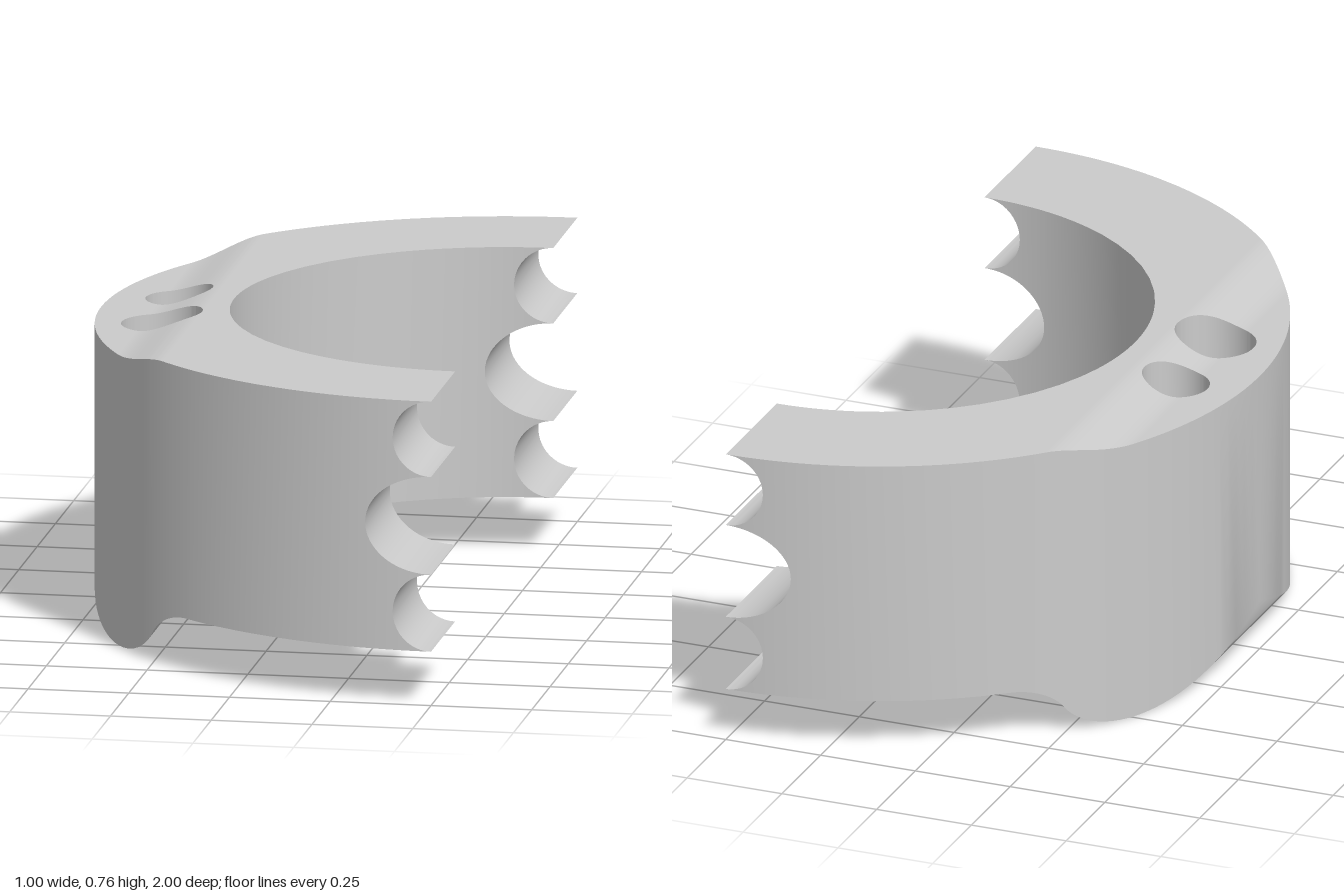
import * as THREE from 'three';
import { toCreasedNormals } from 'three/addons/utils/BufferGeometryUtils.js';

// Half ring in plan, centred on the open end
const CX = 0.5, OUTER = 1, INNER = 0.67;
const HEIGHT = 0.762, BASE = 0.135;

// Vertical bolt holes
const holes = [
  { x: -0.328, z: -0.12, r: 0.083 },
  { x: -0.322, z: 0.15, r: 0.1 },
];

// Scallops cut into both ends: y range and depth
const scallops = [
  { lo: BASE, hi: 0.328, depth: 0.096 },
  { lo: 0.328, hi: 0.573, depth: 0.166 },
  { lo: 0.573, hi: HEIGHT, depth: 0.096 },
];

// Rounded rib under the back, blended into the flat base by a fillet
const RIB = { x: -0.37, r: 0.13 }, FILLET = { x: -0.15, r: 0.117 }, BLEND_X = -0.254;

const half = (r, d) => Math.sqrt(Math.max(0, r * r - d * d));

function bottomY(x) {
  if (x < BLEND_X) return RIB.r - half(RIB.r, x - RIB.x);
  if (x < FILLET.x) return BASE - FILLET.r + half(FILLET.r, x - FILLET.x);
  return BASE;
}

const topY = (x) => 0.728 + (HEIGHT - 0.728) * THREE.MathUtils.smoothstep(x, -0.37, -0.22);

// Solid spans along z at x; mid decides which cuts are present
function zSpans(x, mid) {
  const o = half(OUTER, x - CX);
  const ends = [-o, o];
  if (mid > CX - INNER) {
    const i = half(INNER, x - CX);
    ends.push(-i, i);
  }
  for (const h of holes) {
    if (Math.abs(mid - h.x) < h.r) {
      const w = half(h.r, x - h.x);
      ends.push(h.z - w, h.z + w);
    }
  }
  return ends.sort((a, b) => a - b);
}

// Solid spans along y at x
function ySpans(x, mid) {
  const ends = [bottomY(x), topY(x)];
  for (const s of scallops) {
    if (mid > CX - s.depth) {
      const w = (s.hi - s.lo) / 2 * half(1, (x - CX) / s.depth), c = (s.lo + s.hi) / 2;
      ends.push(c - w, c + w);
    }
  }
  return ends.sort((a, b) => a - b);
}

// Sweep along x: every slice is a set of rectangles, joined to the next slice
function buildBody() {
  const pos = [];
  const tri = (a, b, c) => {
    const u = new THREE.Vector3().subVectors(b, a), v = new THREE.Vector3().subVectors(c, a);
    if (u.cross(v).length() > 1e-9) for (const p of [a, b, c]) pos.push(p.x, p.y, p.z);
  };
  const quad = (a, b, c, d) => { tri(a, b, c); tri(a, c, d); };
  const P = (x, y, z) => new THREE.Vector3(x, y, z);

  // Slices where a cut or a profile curve begins or ends
  const breaks = [CX - OUTER, CX - INNER, CX, RIB.x, BLEND_X, FILLET.x, -0.22];
  for (const h of holes) breaks.push(h.x - h.r, h.x + h.r);
  for (const s of scallops) breaks.push(CX - s.depth);
  const cuts = [...new Set(breaks)].sort((a, b) => a - b);

  const N = 14;
  for (let k = 0; k < cuts.length - 1; k++) {
    const a = cuts[k], b = cuts[k + 1], mid = (a + b) / 2;
    const at = (i) => a + (b - a) * (1 - Math.cos(Math.PI * i / N)) / 2;
    for (let i = 0; i < N; i++) {
      const x0 = at(i), x1 = at(i + 1);
      const y0 = ySpans(x0, mid), y1 = ySpans(x1, mid);
      const z0 = zSpans(x0, mid), z1 = zSpans(x1, mid);
      for (let m = 0; m < y0.length; m += 2) {
        for (let n = 0; n < z0.length; n += 2) {
          const p = (j, l) => P(x0, y0[m + j], z0[n + l]);
          const q = (j, l) => P(x1, y1[m + j], z1[n + l]);
          quad(p(1, 0), p(1, 1), q(1, 1), q(1, 0)); // upper face
          quad(p(0, 0), q(0, 0), q(0, 1), p(0, 1)); // lower face
          quad(p(0, 1), q(0, 1), q(1, 1), p(1, 1)); // +z wall
          quad(p(0, 0), p(1, 0), q(1, 0), q(0, 0)); // -z wall
        }
      }
    }
  }
  const geo = new THREE.BufferGeometry();
  geo.setAttribute('position', new THREE.Float32BufferAttribute(pos, 3));
  return toCreasedNormals(geo, 0.5);
}

export function createModel() {
  const group = new THREE.Group();
  group.name = 'halfRingClamp';
  const body = new THREE.Mesh(buildBody(), new THREE.MeshStandardMaterial({ color: 0xcccccc }));
  body.name = 'clampBody';
  group.add(body);
  return group;
}
